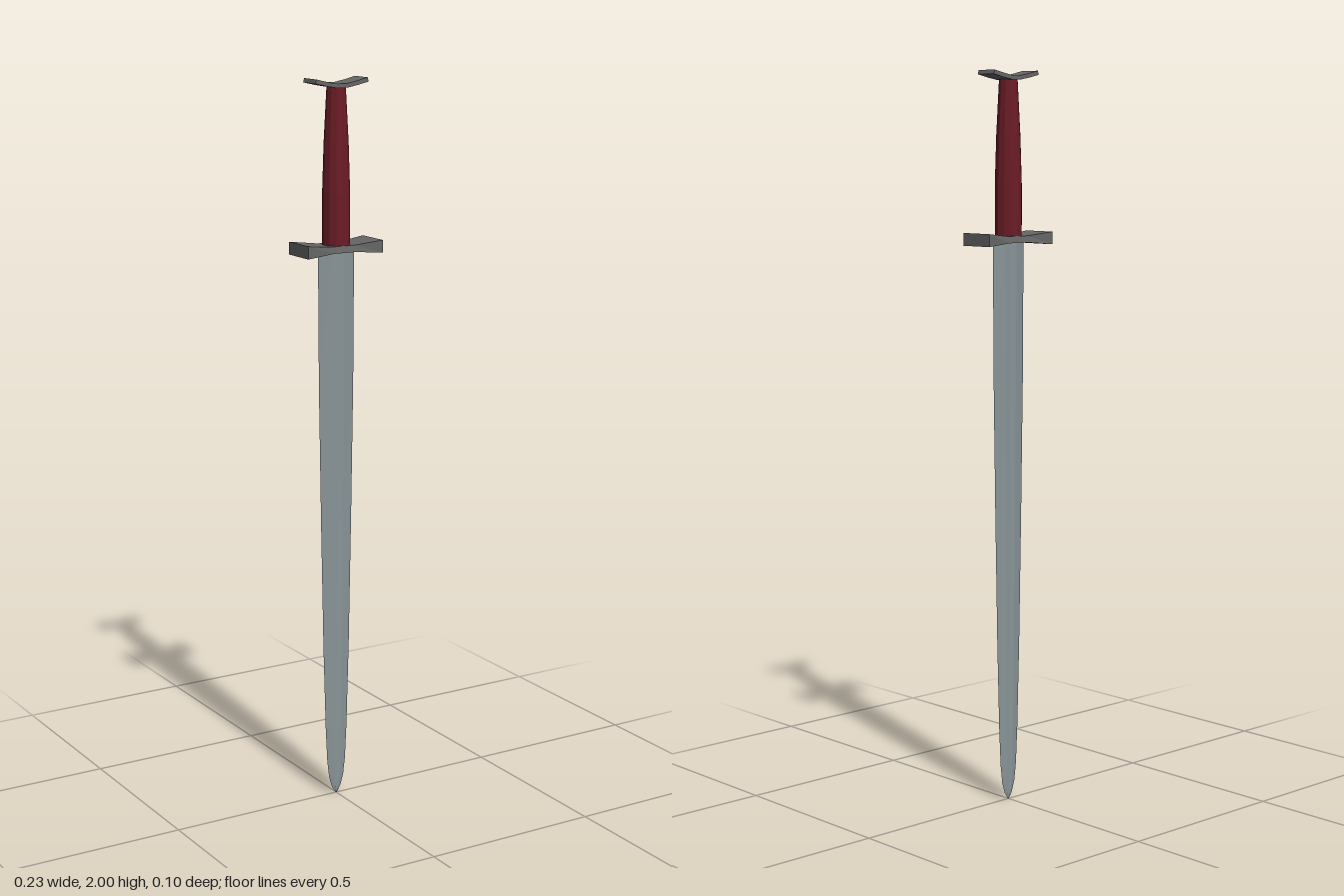
import * as THREE from 'three';

const material = (color) => new THREE.MeshStandardMaterial({ color, flatShading: true });

// Skin a list of rings (arrays of [x, y, z], counter-clockwise about the loft axis) and cap both ends
function loft(rings) {
  const n = rings[0].length;
  const index = [];
  for (let r = 0; r < rings.length - 1; r++) {
    for (let i = 0; i < n; i++) {
      const j = (i + 1) % n;
      const a = r * n + i, b = r * n + j, c = a + n, d = b + n;
      index.push(a, b, d, a, d, c);
    }
  }
  const last = (rings.length - 1) * n;
  for (let i = 1; i < n - 1; i++) {
    index.push(0, i + 1, i, last, last + i, last + i + 1);
  }
  const geometry = new THREE.BufferGeometry();
  geometry.setAttribute('position', new THREE.Float32BufferAttribute(rings.flat(2), 3));
  geometry.setIndex(index);
  const flat = geometry.toNonIndexed();
  flat.computeVertexNormals();
  return flat;
}

export function createModel() {
  const sword = new THREE.Group();
  sword.name = 'sword';
  const add = (name, geometry, mat) => {
    const mesh = new THREE.Mesh(geometry, mat);
    mesh.name = name;
    sword.add(mesh);
    return mesh;
  };
  const steel = material(0x899497);
  const iron = material(0x666666);
  const leather = material(0x6b1c26);

  // Blade: tapering double edge with a shallow central groove; rows are [y, half width, half thickness]
  const bladeRows = [
    [0.0, 0.002, 0.001], [0.02, 0.014, 0.003], [0.05, 0.023, 0.004], [0.1, 0.029, 0.005],
    [0.2, 0.034, 0.006], [0.44, 0.041, 0.007], [0.8, 0.048, 0.008], [1.18, 0.054, 0.01],
    [1.55, 0.056, 0.012],
  ];
  add('blade', loft(bladeRows.map(([y, w, t]) => [
    [0, y, t * 0.8], [w * 0.35, y, t], [w, y, 0], [w * 0.35, y, -t],
    [0, y, -t * 0.8], [-w * 0.35, y, -t], [-w, y, 0], [-w * 0.35, y, t],
  ])), steel);

  // Crossguard: flares at both ends; rows are [x, bottom, top, half depth above, half depth below]
  const guardRows = [
    [-0.115, 1.538, 1.572, 0.051, 0.051], [-0.035, 1.545, 1.563, 0.038, 0.042],
    [0.035, 1.545, 1.563, 0.038, 0.042], [0.115, 1.538, 1.572, 0.051, 0.051],
  ];
  add('crossguard', loft(guardRows.map(([x, y0, y1, d1, d0]) => [
    [x, y1, -d1], [x, y1, d1], [x, y0, d0], [x, y0, -d0],
  ])), iron);

  // Grip: round handle narrowing toward the pommel
  const gripProfile = [[0, 1.555], [0.037, 1.555], [0.037, 1.7], [0.033, 1.83], [0.026, 1.965], [0.025, 1.98], [0, 1.98]];
  add('grip', new THREE.LatheGeometry(gripProfile.map(([r, y]) => new THREE.Vector2(r, y)), 12), leather);

  // Pommel: thin bar curving up at both ends
  const pommelRows = [-0.081, -0.045, -0.015, 0.015, 0.045, 0.081].map((x) => {
    const y = 1.974 + 0.015 * Math.pow(Math.abs(x) / 0.081, 1.3);
    const lean = -0.04 * x;
    return [
      [x + lean, y + 0.011, -0.032], [x + lean, y + 0.011, 0.031],
      [x, y, 0.031], [x, y, -0.032],
    ];
  });
  add('pommel', loft(pommelRows), iron);

  return sword;
}
